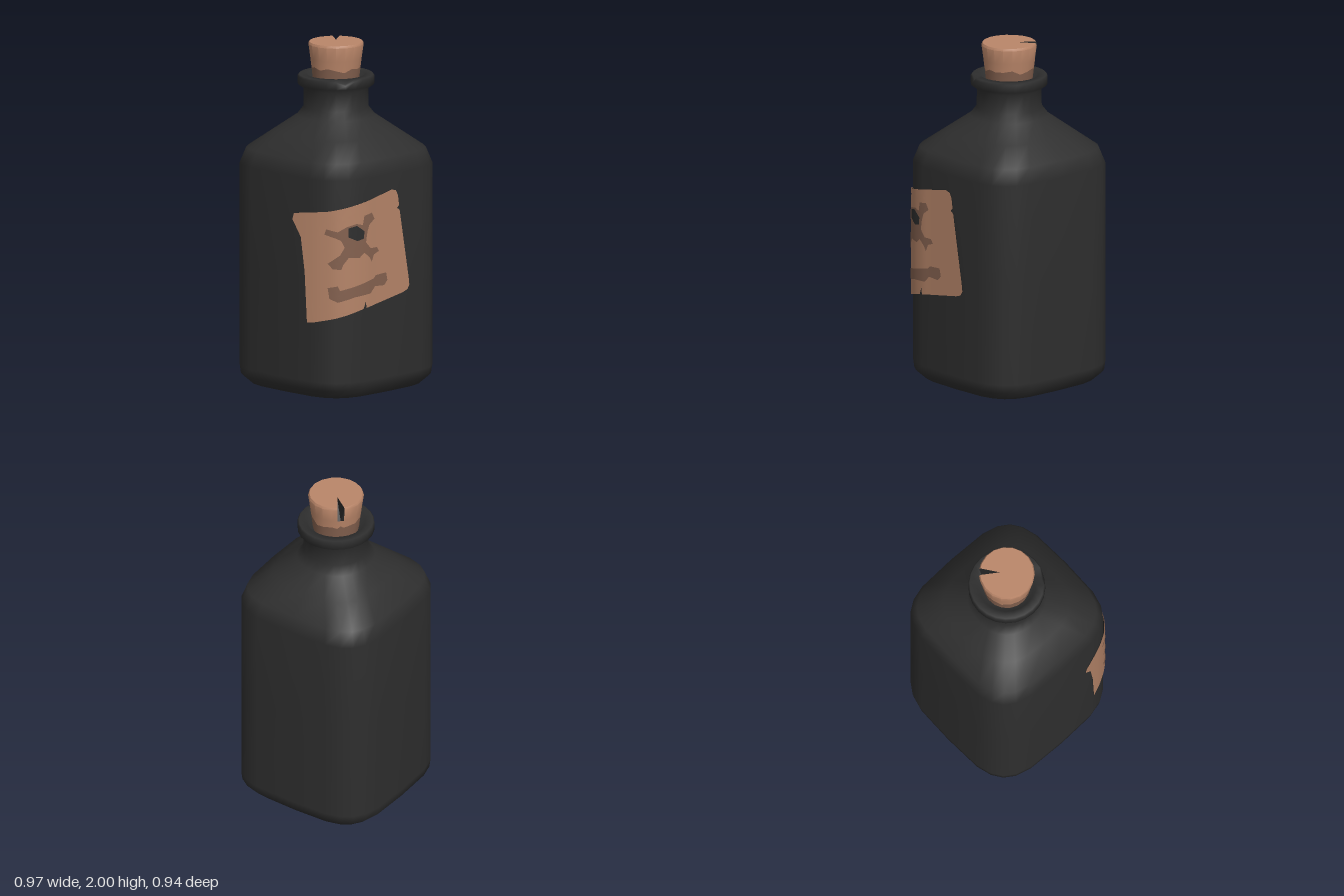
import * as THREE from 'three';
import { mergeVertices, toCreasedNormals } from 'three/addons/utils/BufferGeometryUtils.js';

const CX = 0.022, CZ = -0.006; // axis of the bottle

const mat = (name, color, side = THREE.FrontSide) => {
  const m = new THREE.MeshStandardMaterial({ color, side });
  m.name = name;
  return m;
};

// Skins closed rings of points, listed from bottom to top; keep(i, j) selects quads
function loft(rings, keep = () => true) {
  const n = rings[0].length, index = [];
  for (let i = 0; i < rings.length - 1; i++) {
    for (let j = 0; j < n; j++) {
      if (!keep(i, j)) continue;
      const a = i * n + j, b = i * n + (j + 1) % n;
      index.push(a, a + n, b, b, a + n, b + n);
    }
  }
  const g = new THREE.BufferGeometry();
  g.setAttribute('position', new THREE.Float32BufferAttribute(rings.flat(2), 3));
  g.setIndex(index);
  g.computeVertexNormals();
  return g;
}

// Rounded-square ring: exponent 2 is a circle, 4 is squarish
const spow = (v, e) => Math.sign(v) * Math.abs(v) ** e;
function bottleRing([y, r, n]) {
  return Array.from({ length: 24 }, (_, j) => {
    const a = j * Math.PI / 12;
    const chip = j === 8 && y > 1.79 && r > 0.2; // small chip in the lip
    const k = chip ? r * 0.95 : r;
    return [CX + k * spow(Math.cos(a), 2 / n), chip ? y - 0.025 : y, CZ + k * spow(Math.sin(a), 2 / n)];
  });
}

// Plan line that the label follows, from its right edge round the corner
const wrapPath = new THREE.CatmullRomCurve3([
  [0.16, 0.467], [0, 0.467], [-0.12, 0.467], [-0.21, 0.466], [-0.3, 0.444],
  [-0.372, 0.398], [-0.425, 0.315], [-0.46, 0.225], [-0.487, 0.135],
].map(([x, z]) => new THREE.Vector3(x, 0, z)));
const pathLength = wrapPath.getLength();

// Flat outline (distance along the path, height) cut into small triangles and wrapped
function wrapped(outline, offset) {
  const flat = new THREE.ShapeGeometry(new THREE.Shape(outline.map(p => new THREE.Vector2(...p))));
  const p = flat.attributes.position, ix = flat.index.array, out = [];
  const split = (a, b, c) => {
    const ab = a.distanceTo(b), bc = b.distanceTo(c), ca = c.distanceTo(a);
    const m = Math.max(ab, bc, ca);
    if (m < 0.035) { out.push(a, b, c); return; }
    if (m === bc) [a, b, c] = [b, c, a];
    else if (m === ca) [a, b, c] = [c, a, b];
    const h = a.clone().add(b).multiplyScalar(0.5);
    split(a, h, c);
    split(h, b, c);
  };
  const at = i => new THREE.Vector2(p.getX(i), p.getY(i));
  for (let i = 0; i < ix.length; i += 3) split(at(ix[i]), at(ix[i + 1]), at(ix[i + 2]));
  const pos = out.flatMap(v => {
    const t = THREE.MathUtils.clamp((0.16 - v.x) / pathLength, 0, 1);
    const q = wrapPath.getPointAt(t), d = wrapPath.getTangentAt(t);
    return [q.x + d.z * offset, v.y, q.z - d.x * offset];
  });
  const g = new THREE.BufferGeometry();
  g.setAttribute('position', new THREE.Float32BufferAttribute(pos, 3));
  const merged = mergeVertices(g, 1e-5);
  merged.computeVertexNormals();
  return merged;
}

export function createModel() {
  const group = new THREE.Group();
  const glass = mat('dark glass', 0x2e2e2e);
  const crackMat = mat('crack black', 0x262626, THREE.DoubleSide);
  const cork = mat('cork', 0xba8669);
  const paper = mat('paper', 0xb58468, THREE.DoubleSide);
  const stain = mat('brown stain', 0x84614f);
  const add = (name, geometry, material) => {
    const m = new THREE.Mesh(geometry, material);
    m.name = name;
    group.add(m);
  };

  // Bottle: hollowed base, square body, round neck and lip: [height, half width, exponent]
  add('bottle', loft([
    [0.06, 0, 4], [0.045, 0.27, 4], [0.004, 0.36, 4], [0, 0.41, 4], [0.05, 0.46, 4],
    [0.1, 0.466, 4], [0.7, 0.466, 4], [1.29, 0.466, 4], [1.38, 0.435, 4], [1.48, 0.322, 3.1],
    [1.57, 0.217, 2.3], [1.62, 0.188, 2], [1.73, 0.186, 2], [1.755, 0.222, 2],
    [1.8, 0.222, 2], [1.81, 0.214, 2], [1.81, 0.17, 2], [1.77, 0.155, 2], [1.765, 0.1, 2],
  ].map(bottleRing)), glass);

  // Cork: tapered plug with three extra columns for the crack
  const crack = -Math.PI / 4;
  const angles = [crack - 0.13, crack, crack + 0.13];
  for (let k = 1; k < 18; k++) angles.push(crack + k * Math.PI / 9);
  const corkRing = (y, r, cut) => angles.map((a, j) => {
    const k = cut && j === 1 ? Math.min(r, 0.04) : r;
    return [CX + k * Math.cos(a), y, CZ + k * Math.sin(a)];
  });
  const radius = y => 0.137 + (y - 1.8) * 0.12;
  // Wavy top edge of the damp band
  const edge = angles.map((a, j) => {
    const y = 1.852 + 0.01 * Math.sin(j * 2.3) + 0.006 * Math.sin(j * 1.1);
    return [CX + radius(y) * Math.cos(a), y, CZ + radius(y) * Math.sin(a)];
  });
  const upper = [
    edge, corkRing(1.905, radius(1.905)), corkRing(1.987, 0.161, true),
    corkRing(2, 0.154, true), corkRing(2, 0),
  ];
  const inCrack = (i, j) => (i === 1 || i === 2) && j < 2;
  add('corkBand', loft([corkRing(1.755, 0.132), edge]), stain);
  add('cork', toCreasedNormals(loft(upper, (i, j) => !inCrack(i, j)), 0.7), cork);
  add('corkCrack', toCreasedNormals(loft(upper, inCrack), 0.3), crackMat);

  // Paper label wrapped round one corner, with two small tears
  const labelOutline = [
    [-0.575, 0.45], [-0.53, 0.455], [-0.405, 0.482], [-0.225, 0.53], [-0.21, 0.568], [-0.203, 0.533],
    [0.09, 0.582], [0.13, 0.595], [0.145, 0.62], [0.14, 0.66], [0.066, 1.07], [0.045, 1.085],
    [0.061, 1.1], [0.052, 1.16], [0.035, 1.19], [0, 1.2], [-0.06, 1.187], [-0.3, 1.14],
    [-0.45, 1.11], [-0.6, 1.095], [-0.66, 1.085], [-0.67, 1.05], [-0.615, 0.95], [-0.59, 0.75],
  ];
  add('label', wrapped(labelOutline, 0), paper);
  add('labelBack', wrapped(labelOutline, -0.004), crackMat);

  // Faded skull and crossed bones
  add('skullMark', wrapped([
    [-0.222, 1.077], [-0.165, 1.088], [-0.143, 1.05], [-0.185, 1.02], [-0.2, 0.98], [-0.21, 0.92],
    [-0.175, 0.88], [-0.122, 0.88], [-0.106, 0.855], [-0.148, 0.84], [-0.165, 0.8], [-0.185, 0.83],
    [-0.222, 0.86], [-0.256, 0.833], [-0.325, 0.838], [-0.356, 0.8], [-0.368, 0.77], [-0.417, 0.775],
    [-0.446, 0.806], [-0.375, 0.855], [-0.348, 0.9], [-0.368, 0.94], [-0.397, 0.955], [-0.465, 0.976],
    [-0.455, 1.008], [-0.387, 0.992], [-0.337, 1.02], [-0.275, 1.035], [-0.233, 1.024],
  ].reverse(), 0.003), stain);
  add('eyeHole', wrapped([
    [-0.325, 0.96], [-0.27, 0.934], [-0.228, 0.944], [-0.222, 0.987], [-0.275, 1.024], [-0.325, 1.013],
  ], 0.005), glass);

  // Smudged bar beneath the skull
  add('smudge', wrapped([
    [-0.446, 0.663], [-0.387, 0.674], [-0.375, 0.647], [-0.256, 0.674], [-0.148, 0.7], [-0.132, 0.716],
    [-0.048, 0.72], [-0.037, 0.674], [-0.064, 0.647], [-0.138, 0.652], [-0.175, 0.615],
    [-0.284, 0.605], [-0.387, 0.578], [-0.436, 0.6],
  ].reverse(), 0.003), stain);

  return group;
}
